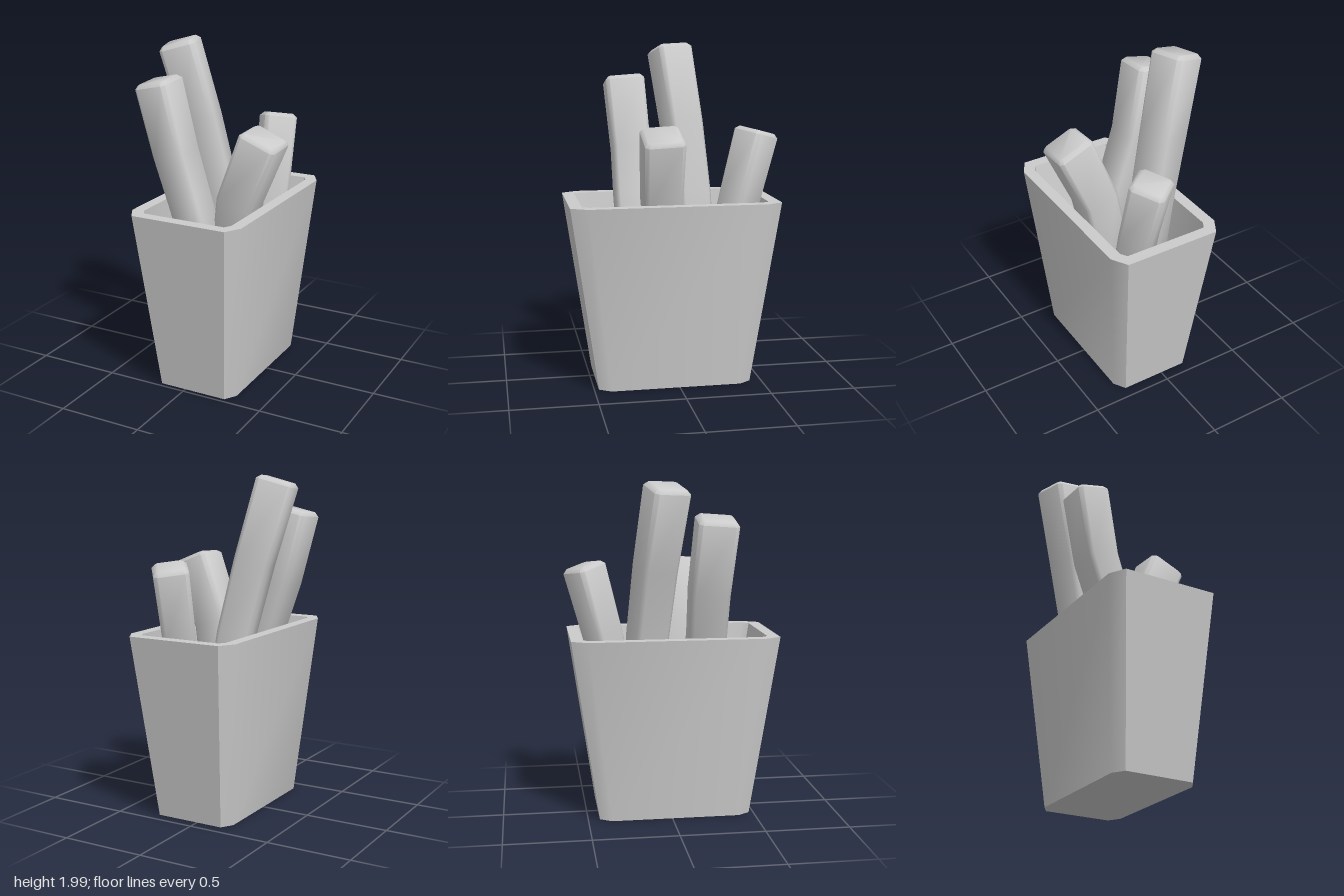
import * as THREE from 'three';
import { toCreasedNormals } from 'three/addons/utils/BufferGeometryUtils.js';

const material = new THREE.MeshStandardMaterial({ color: 0xcccccc });

// Rectangle with cut corners: half sizes a, b and corner cuts p, q
function cutRect(a, b, p, q) {
  return [[a, q - b], [a, b - q], [a - p, b], [p - a, b],
    [-a, b - q], [-a, q - b], [p - a, -b], [a - p, -b]];
}

// Skin a list of equal-length rings and close both ends
function loft(rings, crease = 0.9) {
  const n = rings[0].length;
  const points = rings.flat();
  const index = [];
  for (let i = 0; i < rings.length - 1; i++) {
    for (let j = 0; j < n; j++) {
      const a = i * n + j, b = i * n + (j + 1) % n;
      index.push(a, a + n, b, b, a + n, b + n);
    }
  }
  const last = (rings.length - 1) * n;
  for (let j = 1; j < n - 1; j++) {
    index.push(0, j, j + 1, last, last + j + 1, last + j);
  }
  const geometry = new THREE.BufferGeometry().setFromPoints(points);
  geometry.setIndex(index);
  return toCreasedNormals(geometry, crease);
}

// Hollow tapered carton: up the outside, over the rim, down the inside
function makeCarton() {
  const ring = (y, a, b, p, q) =>
    cutRect(a, b, p, q).map(([x, z]) => new THREE.Vector3(x + 0.05, y, z + 0.021));
  const mesh = new THREE.Mesh(loft([
    ring(0, 0.255, 0.452, 0.045, 0.07),
    ring(1.09, 0.346, 0.61, 0.055, 0.095),
    ring(1.09, 0.278, 0.54, 0.024, 0.04),
    ring(0.06, 0.194, 0.365, 0.015, 0.025),
  ]), material);
  mesh.name = 'carton';
  return mesh;
}

// Slightly bent stick with bevelled edges, through the given centres (bottom to top)
function makeStick({ name, centres, yaw, a, b }) {
  const c = centres.map((p) => new THREE.Vector3(...p));
  const end = c.length - 1;
  const bevel = 0.022;
  const ringAt = (centre, t, a, b, cut) => {
    const u = new THREE.Vector3(Math.cos(yaw), 0, Math.sin(yaw));
    u.addScaledVector(t, -u.dot(t)).normalize();
    const w = new THREE.Vector3().crossVectors(u, t);
    return cutRect(a, b, cut, cut).map(([x, z]) =>
      centre.clone().addScaledVector(u, x).addScaledVector(w, z));
  };
  const rings = [];
  c.forEach((p, i) => {
    const t = c[Math.min(i + 1, end)].clone().sub(c[Math.max(i - 1, 0)]).normalize();
    const s = 0.9 + 0.1 * i / end;
    if (i === 0) rings.push(ringAt(p.clone().addScaledVector(t, -bevel), t, a * s - bevel, b * s - bevel, 0.012));
    const q = i === end ? p.clone().addScaledVector(t, -bevel) : p;
    rings.push(ringAt(q, t, a * s, b * s, bevel));
    if (i === end) rings.push(ringAt(p, t, a - bevel, b - bevel, 0.012));
  });
  const mesh = new THREE.Mesh(loft(rings), material);
  mesh.name = name;
  return mesh;
}

const sticks = [
  { name: 'frontStick', yaw: 0, a: 0.103, b: 0.117,
    centres: [[0.03, 0.65, 0.205], [-0.105, 1.09, 0.215], [-0.195, 1.36, 0.213], [-0.29, 1.785, 0.243]] },
  { name: 'tallStick', yaw: -0.28, a: 0.108, b: 0.11,
    centres: [[-0.02, 0.6, -0.16], [-0.1, 1.09, -0.135], [-0.195, 1.5, -0.1], [-0.315, 1.965, -0.045]] },
  { name: 'leftStick', yaw: 0, a: 0.117, b: 0.117,
    centres: [[0.08, 0.6, 0.04], [0.16, 1.09, 0.085], [0.325, 1.49, 0.105]] },
  { name: 'backStick', yaw: 0.94, a: 0.103, b: 0.1,
    centres: [[0.15, 0.6, -0.27], [0.145, 1.09, -0.385], [0.13, 1.49, -0.49]] },
];

export function createModel() {
  const model = new THREE.Group();
  model.name = 'cartonOfSticks';
  model.add(makeCarton());
  sticks.forEach((stick) => model.add(makeStick(stick)));
  return model;
}
